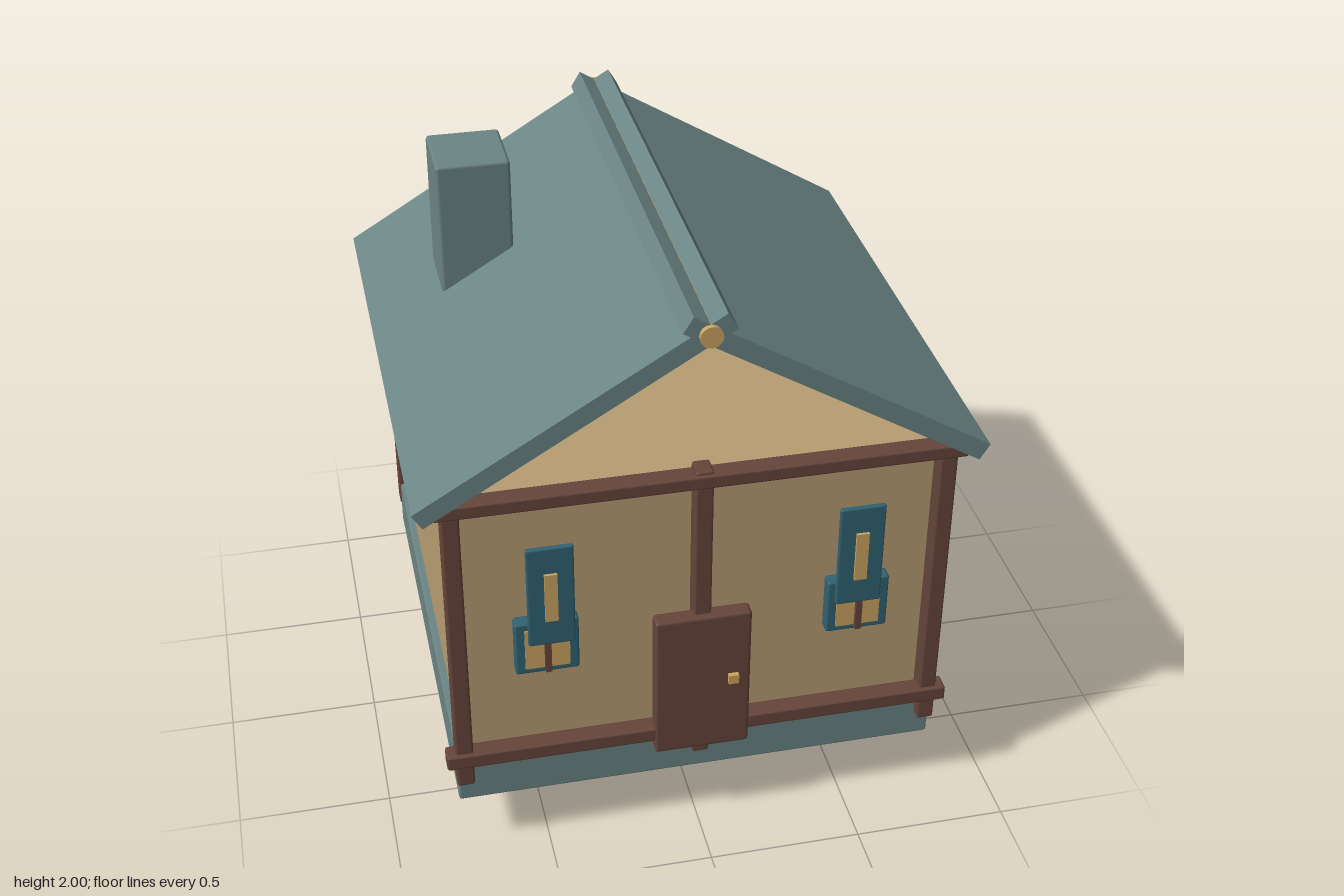
import * as THREE from 'three';
import { RoundedBoxGeometry } from 'three/addons/geometries/RoundedBoxGeometry.js';

export function createModel() {
  const model = new THREE.Group();
  model.name = 'cottage';

  const mat = (name, color) => {
    const m = new THREE.MeshStandardMaterial({ color });
    m.name = name;
    return m;
  };
  const slate = mat('slate', 0x6b8584);
  const plaster = mat('plaster', 0xb79e72);
  const timber = mat('timber', 0x66453b);
  const blue = mat('blue trim', 0x306373);
  const gold = mat('gold', 0xcda562);

  // Box given by its extents, with an optional narrow bevel
  const box = (name, material, [x0, x1], [y0, y1], [z0, z1], bevel = 0.008, parent = model) => {
    const s = [x1 - x0, y1 - y0, z1 - z0];
    const geo = bevel ? new RoundedBoxGeometry(...s, 1, bevel) : new THREE.BoxGeometry(...s);
    const mesh = new THREE.Mesh(geo, material);
    mesh.name = name;
    mesh.position.set((x0 + x1) / 2, (y0 + y1) / 2, (z0 + z1) / 2);
    parent.add(mesh);
    return mesh;
  };

  // Body
  box('foundation', slate, [-0.79, 0.79], [0.22, 0.4], [-0.795, 0.79]);
  box('walls', plaster, [-0.765, 0.765], [0.36, 1.39], [-0.775, 0.765]);

  // Chimney running through the house, with a band in the attic
  box('chimney', slate, [-0.645, -0.405], [0, 2], [-0.42, -0.17], 0.012);
  box('chimneyBand', blue, [-0.655, -0.395], [1.48, 1.51], [-0.43, -0.16], 0.005);

  // Timber frame
  for (const x of [-0.767, 0, 0.767]) {
    const top = x === 0 ? 1.415 : 1.4;
    box('frontPost', timber, [x - 0.028, x + 0.028], [0.31, top], [0.755, 0.825]);
    box('backPost', timber, [x - 0.028, x + 0.028], [0.31, top], [-0.838, -0.768]);
  }
  box('topBeam', timber, [-0.825, 0.825], [1.358, 1.405], [0.77, 0.835]);
  box('lowerBeam', timber, [-0.825, 0.825], [0.392, 0.445], [0.775, 0.838]);

  // Door
  box('door', timber, [-0.155, 0.155], [0.347, 0.88], [0.79, 0.846], 0.012);
  box('doorKnob', gold, [0.08, 0.113], [0.61, 0.643], [0.84, 0.862], 0);

  // Windows with hanging panels, mirrored left and right
  for (const side of [-1, 1]) {
    const win = new THREE.Group();
    win.name = side > 0 ? 'leftWindow' : 'rightWindow';
    model.add(win);
    const span = (a, b) => (side > 0 ? [a, b] : [-b, -a]);
    box('windowFrame', blue, span(0.395, 0.595), [0.755, 0.95], [0.8, 0.847], 0.008, win);
    box('windowPane', gold, span(0.425, 0.565), [0.778, 0.925], [0.845, 0.852], 0, win);
    box('mullion', timber, span(0.485, 0.505), [0.768, 0.935], [0.845, 0.866], 0, win);
    box('panel', blue, span(0.411, 0.557), [0.887, 1.25], [0.862, 0.88], 0.007, win);
    box('panelSlot', gold, span(0.464, 0.504), [0.983, 1.157], [0.878, 0.889], 0, win);
  }

  // Roof slabs that cross at the ridge
  const slope = Math.atan2(0.56, 0.93);
  for (const side of [-1, 1]) {
    const slab = new THREE.Mesh(new THREE.BoxGeometry(1.086, 0.06, 1.726), slate);
    slab.name = side > 0 ? 'leftRoof' : 'rightRoof';
    slab.position.set(side * 0.3995, 1.664, -0.008);
    slab.rotation.z = -side * slope;
    model.add(slab);
  }

  // Ridge pole
  const pole = new THREE.Mesh(new THREE.CylinderGeometry(0.035, 0.035, 1.756, 16), gold);
  pole.name = 'ridgePole';
  pole.rotation.x = Math.PI / 2;
  pole.position.set(0, 1.905, -0.007);
  model.add(pole);

  return model;
}
